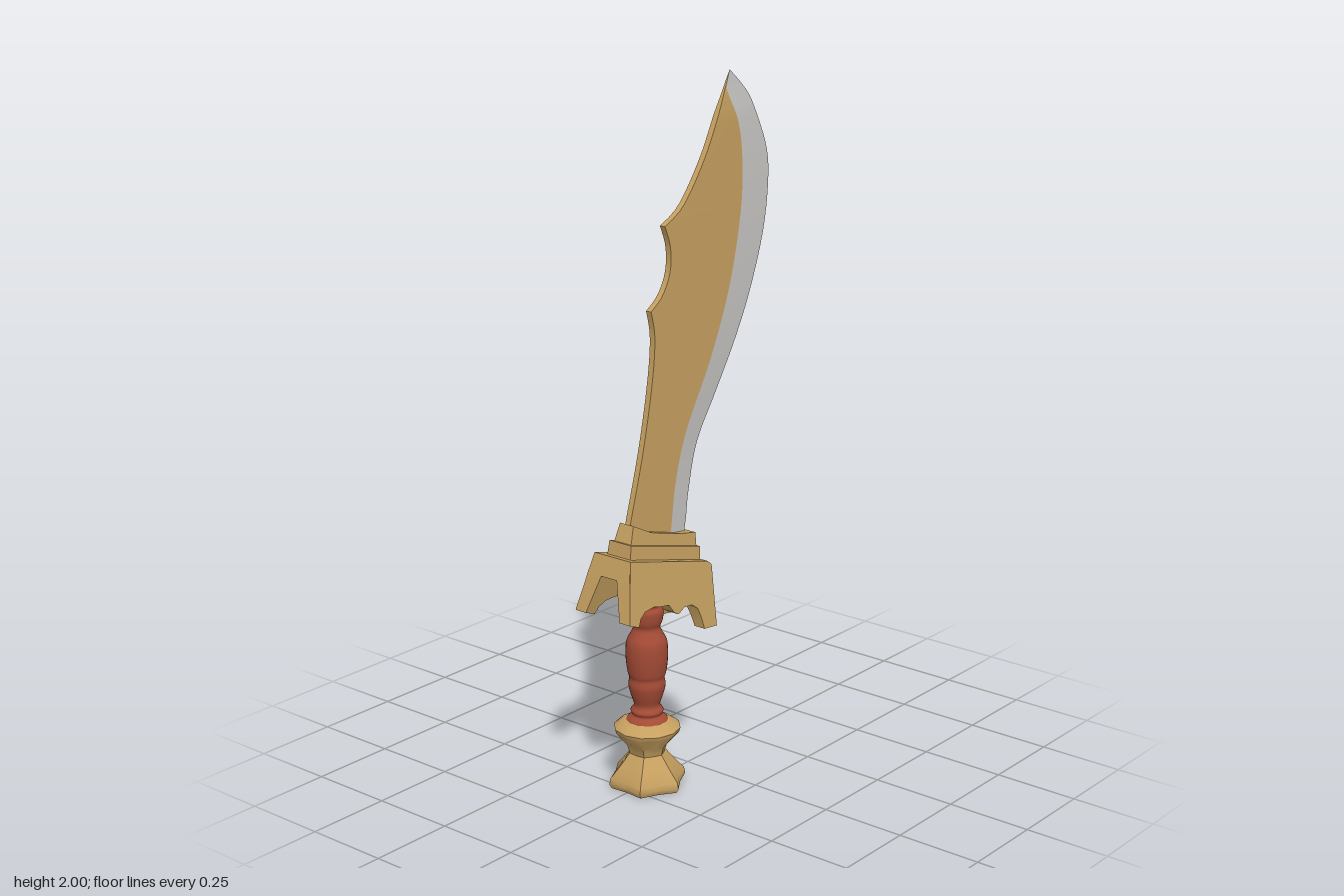
import * as THREE from 'three';
import { toCreasedNormals } from 'three/addons/utils/BufferGeometryUtils.js';

const GRIP_X = -0.182;
const v2 = (pts) => pts.map(([x, y]) => new THREE.Vector2(x, y));

// Smooth outline through a few points, returned as x for a given y
function outline(...runs) {
  const pts = runs.flatMap((r) => new THREE.SplineCurve(v2(r)).getPoints(48));
  return (y) => {
    let i = 1;
    while (i < pts.length - 1 && pts[i].y < y) i++;
    const a = pts[i - 1], b = pts[i];
    const t = b.y === a.y ? 1 : THREE.MathUtils.clamp((y - a.y) / (b.y - a.y), 0, 1);
    return a.x + (b.x - a.x) * t;
  };
}

// Skin between neighbouring columns of points, each column running upward
function skin(...pairs) {
  const pos = [];
  for (const [a, b] of pairs) {
    for (let i = 0; i < a.length - 1; i++) {
      pos.push(...a[i], ...b[i], ...b[i + 1], ...a[i], ...b[i + 1], ...a[i + 1]);
    }
  }
  const g = new THREE.BufferGeometry();
  g.setAttribute('position', new THREE.Float32BufferAttribute(pos, 3));
  return toCreasedNormals(g, 0.5);
}

// Depth below the sloping top line of the guard
const depth = (x, y) => (0.638 - 0.269 * x - y) * 0.966;

// Profile extruded along z; near and far faces placed by rules of depth
function slab(points, near, far) {
  const g = new THREE.ExtrudeGeometry(new THREE.Shape(v2(points)), { depth: 1, bevelEnabled: false });
  const p = g.attributes.position;
  for (let i = 0; i < p.count; i++) {
    const d = depth(p.getX(i), p.getY(i));
    p.setZ(i, p.getZ(i) > 0.5 ? far(d) : near(d));
  }
  return toCreasedNormals(g, 0.5);
}

export function createModel() {
  const mat = (name, color) => {
    const m = new THREE.MeshStandardMaterial({ color });
    m.name = name;
    return m;
  };
  const gold = mat('gold', 0xc6a060);
  const steel = mat('steel', 0xcbc9c6);
  const red = mat('red wood', 0xa34a35);

  const sword = new THREE.Group();
  sword.name = 'sword';
  const add = (name, geometry, material) => {
    const m = new THREE.Mesh(geometry, material);
    m.name = name;
    sword.add(m);
    return m;
  };

  // Blade: notched spine, colour border and curved cutting edge
  const spine = outline(
    [[-0.285, 0.7], [-0.26, 0.8], [-0.203, 1.0], [-0.163, 1.19], [-0.152, 1.31], [-0.167, 1.385]],
    [[-0.167, 1.385], [-0.12, 1.42], [-0.087, 1.48], [-0.085, 1.55], [-0.108, 1.61]],
    [[-0.108, 1.61], [-0.03, 1.655], [0.06, 1.77], [0.13, 1.9], [0.18, 2.0]]);
  const border = outline([[-0.093, 0.7], [-0.085, 0.77], [-0.065, 0.89], [-0.02, 1.02], [0.087, 1.206],
    [0.167, 1.39], [0.214, 1.577], [0.225, 1.71], [0.21, 1.84], [0.156, 1.963], [0.18, 2.0]]);
  const edge = outline([[-0.02, 0.7], [-0.008, 0.76], [0.003, 0.836], [0.04, 0.97], [0.125, 1.1], [0.21, 1.233],
    [0.278, 1.365], [0.336, 1.524], [0.358, 1.667], [0.347, 1.77], [0.283, 1.9], [0.235, 1.955], [0.18, 2.0]]);

  const ys = [1.385, 1.61];
  for (let i = 0; i <= 80; i++) ys.push(0.7 + (1.3 * i) / 80);
  ys.sort((a, b) => a - b);
  const column = (fx, z) => ys.map((y) => [fx(y), y, z * Math.min(1, (2 - y) / 0.12)]);
  const borderX = (y) => Math.max(border(y), spine(y));
  const sF = column(spine, 0.009), sB = column(spine, -0.009);
  const bF = column(borderX, 0.012), bB = column(borderX, -0.012);
  const e = column(edge, 0);
  add('bladeBody', skin([sB, sF], [sF, bF], [bB, sB]), gold);
  add('bladeEdge', skin([bF, e], [e, bB]), steel);

  // Collar: two steps that hold the blade
  const half = (z, flare) => [(d) => -(z + flare * d), (d) => z + flare * d];
  add('collarLower', slab([[-0.3, 0.7], [0.003, 0.62], [0.006, 0.675], [-0.292, 0.757]], ...half(0.042, 0.08)), gold);
  add('collarUpper', slab([[-0.29, 0.73], [0, 0.65], [0.002, 0.715], [-0.07, 0.73], [-0.19, 0.765], [-0.264, 0.803]],
    ...half(0.035, 0.12)), gold);

  // Guard: solid top with two flared side plates ending in legs
  add('guardTop', slab([[-0.325, 0.725], [-0.342, 0.668], [0.018, 0.571], [0.023, 0.622], [0.01, 0.635]],
    ...half(0.064, 0.2)), gold);
  const plate = [[-0.325, 0.725], [-0.368, 0.56], [-0.33, 0.545], [-0.318, 0.565], [-0.295, 0.578], [-0.255, 0.58],
    [-0.225, 0.572], [-0.19, 0.566], [-0.172, 0.54], [-0.155, 0.53], [-0.125, 0.541], [-0.09, 0.538],
    [-0.066, 0.52], [-0.056, 0.49], [-0.05, 0.457], [0.007, 0.45], [0.025, 0.622], [0.01, 0.635]];
  const inner = (d) => 0.01 + 0.3 * d;
  const outer = (d) => 0.065 + 0.2 * d;
  add('guardPlateFront', slab(plate, inner, outer), gold);
  add('guardPlateBack', slab(plate, (d) => -outer(d), (d) => -inner(d)), gold);

  // Grip: turned handle
  const grip = new THREE.SplineCurve(v2([[0.066, 0.19], [0.055, 0.205], [0.042, 0.215], [0.047, 0.228], [0.037, 0.245],
    [0.046, 0.275], [0.053, 0.305], [0.05, 0.328], [0.055, 0.345], [0.06, 0.39], [0.058, 0.435], [0.045, 0.462],
    [0.038, 0.48], [0.045, 0.5], [0.048, 0.53], [0.04, 0.545], [0.05, 0.562], [0.042, 0.59], [0.03, 0.64]])).getPoints(72);
  add('grip', new THREE.LatheGeometry(grip, 28), red).position.x = GRIP_X;

  // Pommel: round on top, becoming a six-pointed flare at the foot
  const pommel = new THREE.LatheGeometry(v2([[0, 0], [0.108, 0], [0.115, 0.012], [0.112, 0.03], [0.08, 0.066],
    [0.053, 0.1], [0.06, 0.125], [0.092, 0.165], [0.096, 0.178], [0.085, 0.187], [0.06, 0.2], [0, 0.205]]), 12);
  const p = pommel.attributes.position;
  for (let i = 0; i < p.count; i++) {
    const angle = Math.atan2(p.getX(i), p.getZ(i));
    const side = Math.abs(Math.round(angle / (Math.PI / 6))) % 2;
    const k = 1 - side * 0.17 * THREE.MathUtils.clamp((0.16 - p.getY(i)) / 0.12, 0, 1);
    p.setX(i, p.getX(i) * k);
    p.setZ(i, p.getZ(i) * k);
  }
  add('pommel', toCreasedNormals(pommel, 0.6), gold).position.x = GRIP_X;

  return sword;
}
